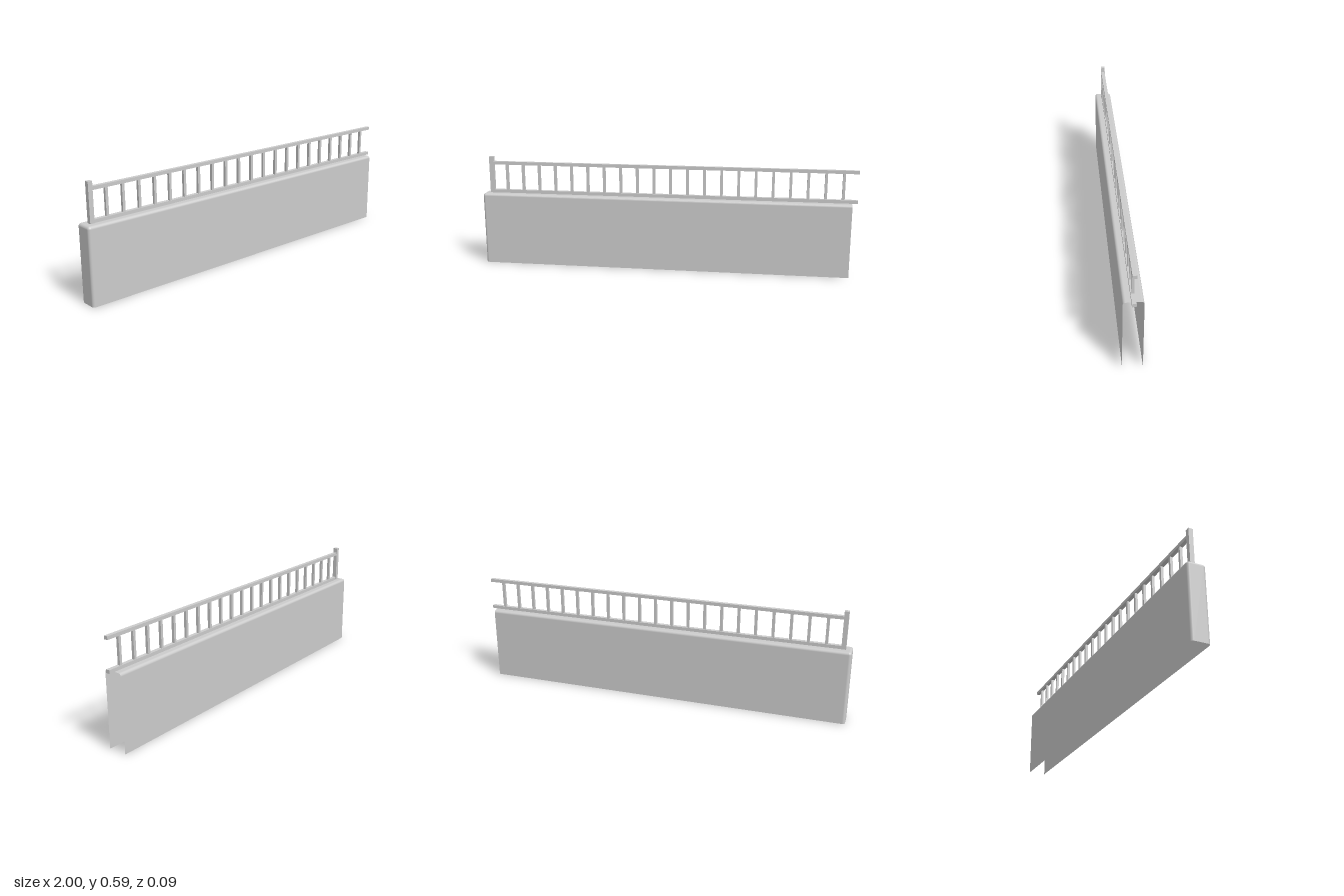
import * as THREE from 'three';
import { RoundedBoxGeometry } from 'three/addons/geometries/RoundedBoxGeometry.js';

const grey = new THREE.MeshStandardMaterial({ color: 0xcccccc });
const greyShell = new THREE.MeshStandardMaterial({ color: 0xcccccc, side: THREE.DoubleSide });

// Box given by its limits on each axis
function box(name, [x0, x1], [y0, y1], [z0, z1]) {
  const mesh = new THREE.Mesh(new THREE.BoxGeometry(x1 - x0, y1 - y0, z1 - z0), grey);
  mesh.position.set((x0 + x1) / 2, (y0 + y1) / 2, (z0 + z1) / 2);
  mesh.name = name;
  return mesh;
}

// Hollow rounded wall: a rounded box with everything past the open end and open base removed
function wallGeometry(xMin, xOpen, yTop, depth, r) {
  const w = xOpen + r - xMin, h = yTop + r;
  const full = new RoundedBoxGeometry(w, h, depth, 4, r);
  full.translate(xMin + w / 2, yTop - h / 2, 0);
  const p = full.attributes.position, n = full.attributes.normal;
  const positions = [], normals = [], eps = 1e-4;
  for (let i = 0; i < p.count; i += 3) {
    const ids = [i, i + 1, i + 2];
    if (ids.every((k) => p.getX(k) > xOpen - eps)) continue;
    if (ids.every((k) => p.getY(k) < eps)) continue;
    for (const k of ids) {
      positions.push(p.getX(k), p.getY(k), p.getZ(k));
      normals.push(n.getX(k), n.getY(k), n.getZ(k));
    }
  }
  const geo = new THREE.BufferGeometry();
  geo.setAttribute('position', new THREE.Float32BufferAttribute(positions, 3));
  geo.setAttribute('normal', new THREE.Float32BufferAttribute(normals, 3));
  return geo;
}

export function createModel() {
  const model = new THREE.Group();
  model.name = 'wallWithRailing';

  const wall = new THREE.Mesh(wallGeometry(-1, 0.97, 0.39, 0.095, 0.014), greyShell);
  wall.name = 'wall';
  model.add(wall);

  const railing = new THREE.Group();
  railing.name = 'railing';
  model.add(railing);

  // End post and the two rails, which run past the open end of the wall
  railing.add(box('endPost', [-0.968, -0.945], [0.385, 0.588], [-0.0115, 0.0115]));
  railing.add(box('bottomRail', [-0.95, 1], [0.39, 0.407], [-0.01, 0.01]));
  railing.add(box('topRail', [-0.95, 1], [0.545, 0.562], [-0.01, 0.01]));

  // Evenly spaced balusters
  const count = 21, first = -0.871, step = 0.0898, half = 0.007;
  for (let i = 0; i < count; i++) {
    const x = first + i * step;
    railing.add(box('baluster', [x - half, x + half], [0.4, 0.546], [-half, half]));
  }
  return model;
}
